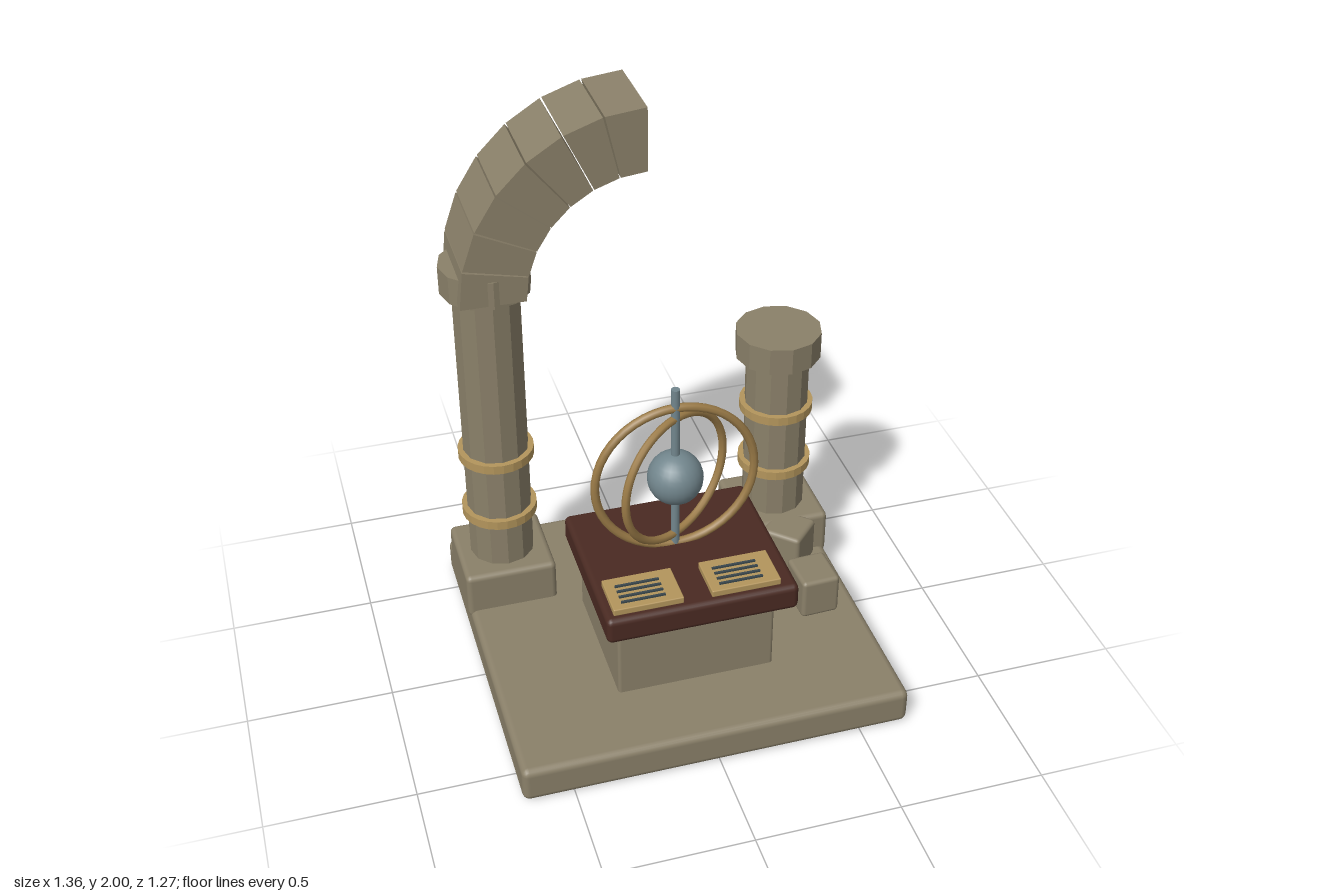
import * as THREE from 'three';
import { RoundedBoxGeometry } from 'three/addons/geometries/RoundedBoxGeometry.js';

const mat = (name, color) => {
  const m = new THREE.MeshStandardMaterial({ color });
  m.name = name;
  return m;
};

export function createModel() {
  const stone = mat('stone', 0x8a8069);
  const wood = mat('dark wood', 0x4a2a22);
  const brass = mat('brass', 0xb3955c);
  const bronze = mat('bronze', 0x9c7c48);
  const steel = mat('steel', 0x72868d);
  const ink = mat('dark steel', 0x3a474d);

  const root = new THREE.Group();
  const add = (name, geo, material, x, y, z, ry = 0, parent = root) => {
    const mesh = new THREE.Mesh(geo, material);
    mesh.name = name;
    mesh.position.set(x, y, z);
    mesh.rotation.y = ry;
    parent.add(mesh);
    return mesh;
  };
  // softly bevelled block, given by its bottom and top heights
  const block = (name, material, w, d, y0, y1, x, z, r = 0.02, ry = 0) =>
    add(name, new RoundedBoxGeometry(w, y1 - y0, d, 2, r), material, x, (y0 + y1) / 2, z, ry);
  // faceted drum with flat normals
  const drum = (r, h, sides = 12) => {
    const g = new THREE.CylinderGeometry(r, r, h, sides).toNonIndexed();
    g.computeVertexNormals();
    return g;
  };

  // base, pedestal and table top
  block('baseSlab', stone, 1.345, 1.275, 0, 0.13, 0, 0, 0.025);
  block('pedestal', stone, 0.55, 0.515, 0.11, 0.44, 0, 0.102, 0.012);
  block('tableTop', wood, 0.66, 0.595, 0.428, 0.525, 0, 0.146, 0.02);

  // columns: the left-hand one in front view is whole, the other broken short
  const colZ = -0.357;
  const column = (name, x, capY) => {
    const g = new THREE.Group();
    g.name = name;
    g.position.set(x, 0, colZ);
    root.add(g);
    add('plinth', new RoundedBoxGeometry(0.327, 0.18, 0.325, 2, 0.02), stone, 0, 0.19, 0, 0, g);
    add('shaft', drum(0.115, capY - 0.26), stone, 0, (capY + 0.26) / 2, 0, 0, g);
    add('capital', drum(0.154, 0.1), stone, 0, capY + 0.05, 0, 0, g);
    for (const y of [0.466, 0.707]) add('band', drum(0.133, 0.033, 24), brass, 0, y, 0, 0, g);
  };
  column('tallColumn', -0.517, 1.36);
  column('shortColumn', 0.517, 0.92);

  // broken arch: wedge stones with narrow joints over a quarter circle
  const arch = new THREE.Group();
  arch.name = 'archStones';
  root.add(arch);
  const stones = 7, step = Math.PI / 2 / stones, gap = 0.005;
  const inner = 0.41, outer = 0.63;
  for (let i = 0; i < stones; i++) {
    const a = Math.PI / 2 + i * step + (i ? gap : 0), b = Math.PI / 2 + (i + 1) * step - gap;
    const at = (r, t) => new THREE.Vector2(r * Math.cos(t), r * Math.sin(t));
    const wedge = new THREE.Shape([at(inner, a), at(outer, a), at(outer, b), at(inner, b)]);
    const geo = new THREE.ExtrudeGeometry(wedge, { depth: 0.298, bevelEnabled: false });
    add('archStone', geo, stone, 0, 1.37, colZ - 0.149, 0, arch);
  }

  // fallen rubble
  block('rubbleBlock', stone, 0.14, 0.16, 0.125, 0.28, 0.52, 0.088, 0.015, 0.04);
  block('rubbleBlock', stone, 0.152, 0.152, 0.125, 0.28, 0.518, -0.172, 0.015, 0.8);

  // armillary sphere: rod, ball and two crossing rings
  const armillary = new THREE.Group();
  armillary.name = 'armillary';
  armillary.position.set(0, 0.8, 0.1);
  root.add(armillary);
  add('rod', new THREE.CylinderGeometry(0.015, 0.015, 0.63, 12), steel, 0, 0.035, 0, 0, armillary);
  add('ball', new THREE.SphereGeometry(0.095, 24, 16), steel, 0, 0, 0, 0, armillary);
  add('outerRing', new THREE.TorusGeometry(0.277, 0.015, 8, 48), bronze, 0, 0, 0, 0, armillary);
  add('innerRing', new THREE.TorusGeometry(0.235, 0.014, 8, 48), bronze, 0, 0, 0, Math.PI / 6, armillary);

  // two engraved plates lying on the table
  for (const x of [-0.186, 0.148]) {
    block('plate', brass, 0.238, 0.16, 0.536, 0.561, x, 0.35, 0.004);
    for (let i = 0; i < 4; i++)
      add('engravedLine', new THREE.BoxGeometry(0.15, 0.006, 0.008), ink, x - 0.012, 0.568, 0.323 + i * 0.027);
  }
  return root;
}
